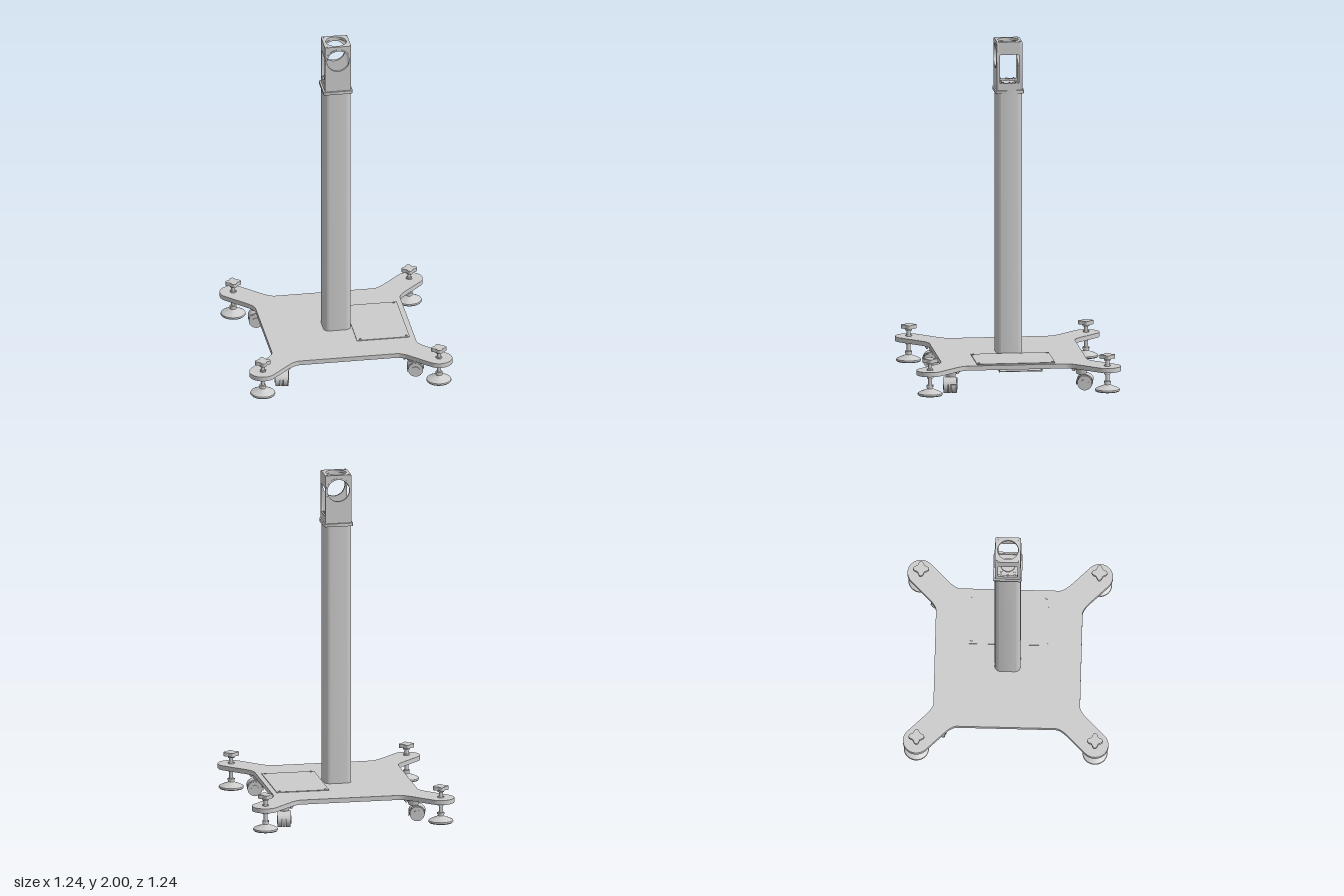
import * as THREE from 'three';
import { toCreasedNormals } from 'three/addons/utils/BufferGeometryUtils.js';

const grey = new THREE.MeshStandardMaterial({ color: 0xcccccc });

function add(parent, name, geometry, x = 0, y = 0, z = 0) {
  const mesh = new THREE.Mesh(geometry, grey);
  mesh.name = name;
  mesh.position.set(x, y, z);
  parent.add(mesh);
  return mesh;
}

const box = (w, h, d) => new THREE.BoxGeometry(w, h, d);
const cyl = (r, h, n = 24, r2 = r) => new THREE.CylinderGeometry(r2, r, h, n);
const extrude = (shape, depth, curveSegments = 12) =>
  toCreasedNormals(new THREE.ExtrudeGeometry(shape, { depth, bevelEnabled: false, curveSegments }), 0.6);
// Horizontal slab standing on its own y = 0
const slab = (shape, height, seg) => extrude(shape, height, seg).rotateX(-Math.PI / 2);

function roundedRect(w, h, r, Type = THREE.Shape, cx = 0, cy = 0) {
  const s = new Type(), a = w / 2 - r, b = h / 2 - r;
  s.absarc(cx + a, cy + b, r, 0, Math.PI / 2);
  s.absarc(cx - a, cy + b, r, Math.PI / 2, Math.PI);
  s.absarc(cx - a, cy - b, r, Math.PI, Math.PI * 1.5);
  s.absarc(cx + a, cy - b, r, Math.PI * 1.5, Math.PI * 2);
  s.closePath();
  return s;
}

function circleHole(r, x = 0, y = 0) {
  const p = new THREE.Path();
  p.absarc(x, y, r, 0, Math.PI * 2, true);
  return p;
}

// Square plate with four diagonal rounded arms and an access opening
function baseShape() {
  const s = new THREE.Shape(), half = 0.425, c = 0.518, r = 0.078;
  for (let i = 0; i < 4; i++) {
    const a = i * Math.PI / 2;
    const p = (x, y) => [x * Math.cos(a) - y * Math.sin(a), x * Math.sin(a) + y * Math.cos(a)];
    if (i) s.lineTo(...p(half, 0.285)); else s.moveTo(...p(half, 0.285));
    s.quadraticCurveTo(...p(half, 0.315), ...p(0.47, 0.36));
    s.absarc(...p(c, c), r, a - Math.PI / 4, a + Math.PI * 0.75, false);
    s.lineTo(...p(0.36, 0.47));
    s.quadraticCurveTo(...p(0.315, half), ...p(0.285, half));
  }
  s.closePath();
  s.holes.push(roundedRect(0.23, 0.39, 0.01, THREE.Path, 0.24, 0));
  return s;
}

function knobShape() {
  const pts = [];
  for (let i = 0; i < 48; i++) {
    const a = i / 48 * Math.PI * 2;
    const r = 0.037 - 0.0085 * Math.cos(4 * a);
    pts.push(new THREE.Vector2(r * Math.cos(a), r * Math.sin(a)));
  }
  return new THREE.Shape(pts);
}

// Screw-down foot with a lobed hand knob
function levellingFoot() {
  const g = new THREE.Group();
  g.name = 'levellingFoot';
  add(g, 'footKnob', slab(knobShape(), 0.022), 0, 0.206, 0);
  add(g, 'knobHub', cyl(0.02, 0.012), 0, 0.201, 0);
  add(g, 'footStem', cyl(0.0115, 0.16), 0, 0.125, 0);
  add(g, 'topCollar', cyl(0.019, 0.008, 6), 0, 0.164, 0);
  add(g, 'bottomBush', cyl(0.019, 0.02), 0, 0.123, 0);
  add(g, 'lockNut', cyl(0.021, 0.012, 6), 0, 0.066, 0);
  const profile = [[0, 0.012], [0.068, 0.012], [0.073, 0.018], [0.071, 0.026], [0.055, 0.035],
    [0.026, 0.046], [0.018, 0.052], [0.017, 0.062], [0, 0.062]].map(p => new THREE.Vector2(...p));
  add(g, 'footPad', toCreasedNormals(new THREE.LatheGeometry(profile, 40), 0.5));
  return g;
}

// Twin-wheel swivel caster
function caster() {
  const g = new THREE.Group(), R = 0.043, off = 0.022;
  g.name = 'caster';
  add(g, 'casterPlate', slab(roundedRect(0.11, 0.11, 0.015), 0.009), 0, 0.125, 0);
  for (const x of [-1, 1]) for (const z of [-1, 1])
    add(g, 'casterBolt', cyl(0.008, 0.01, 6), x * 0.042, 0.121, z * 0.042);
  add(g, 'casterSwivel', cyl(0.028, 0.035, 24, 0.036), 0, 0.109, 0);
  for (const s of [-1, 1]) {
    add(g, 'casterWheel', cyl(R, 0.026, 32).rotateX(Math.PI / 2), off, R, s * 0.024);
    add(g, 'wheelHub', cyl(0.022, 0.006).rotateX(Math.PI / 2), off, R, s * 0.039);
  }
  // Curved hood over the wheels
  const hood = new THREE.Shape();
  hood.absarc(0, 0, 0.051, 0.3, Math.PI + 0.2, false);
  hood.absarc(0, 0, 0.045, Math.PI + 0.2, 0.3, true);
  hood.closePath();
  add(g, 'casterHood', extrude(hood, 0.078), off, R, -0.039);
  add(g, 'casterWeb', cyl(0.046, 0.016).rotateX(Math.PI / 2), off, R + 0.004, 0);
  return g;
}

// Hollow camera-style head: round openings front and back, windows at the sides
function head() {
  const g = new THREE.Group();
  g.name = 'head';
  const w = 0.154, d = 0.148, y0 = 1.712, y1 = 2, t = 0.012, h = y1 - y0;
  const face = roundedRect(w, h, 0.006);
  face.holes.push(circleHole(0.065, 0, 1.908 - (y0 + y1) / 2));
  const side = roundedRect(d - 2 * t, h, 0.001);
  side.holes.push(roundedRect(0.112, 0.168, 0.005, THREE.Path, 0, 1.84 - (y0 + y1) / 2));
  const ring = new THREE.Shape();
  ring.absarc(0, 0, 0.074, 0, Math.PI * 2);
  ring.holes.push(circleHole(0.065));
  const mid = (y0 + y1) / 2;
  for (const s of [-1, 1]) {
    add(g, 'headFace', extrude(face, t, 32), 0, mid, s * (d - t) / 2 - t / 2);
    add(g, 'openingRing', extrude(ring, 0.004, 32), 0, 1.908, s * (d / 2 + 0.001) - 0.002);
    add(g, 'headSide', extrude(side, t).rotateY(Math.PI / 2), s * (w - t) / 2 - t / 2, mid, 0);
    for (const z of [-0.04, 0, 0.04])
      add(g, 'windowScrew', cyl(0.006, 0.008, 10), s * 0.066, 1.758, z);
    for (const z of [-1, 1]) add(g, 'topScrew', cyl(0.005, 0.004, 10), s * 0.064, 2, z * 0.062);
  }
  const top = roundedRect(w - 2 * t, d - 2 * t, 0.001);
  top.holes.push(circleHole(0.06));
  add(g, 'headTop', slab(top, 0.016, 32), 0, y1 - 0.016, 0);
  add(g, 'headFloor', box(w - 2 * t, 0.03, d - 2 * t), 0, 1.727, 0);
  add(g, 'floorHub', cyl(0.042, 0.01, 36), 0, 1.746, 0);
  for (let i = 0; i < 4; i++) {
    const a = Math.PI / 4 + i * Math.PI / 2;
    add(g, 'floorBolt', cyl(0.007, 0.008, 10), 0.055 * Math.cos(a), 1.745, 0.055 * Math.sin(a));
  }
  return g;
}

export function createModel() {
  const model = new THREE.Group();
  model.name = 'columnStand';
  const body = new THREE.Group();
  body.name = 'standBody';
  body.rotation.y = -0.0436;
  model.add(body);

  // Base, access cover and its screws
  add(body, 'basePlate', slab(baseShape(), 0.027, 20), 0, 0.133, 0);
  add(body, 'accessCover', box(0.31, 0.004, 0.456), 0.24, 0.162, 0);
  for (const x of [0.106, 0.376]) for (const z of [-0.216, 0.216])
    add(body, 'coverScrew', cyl(0.007, 0.005, 12), x, 0.1655, z);

  // Open-ended tray under the base
  const tray = new THREE.Group();
  tray.name = 'underTray';
  body.add(tray);
  add(tray, 'trayFloor', box(0.332, 0.005, 0.252), 0.098, 0.09, -0.043);
  for (const s of [-1, 1]) add(tray, 'trayWall', box(0.332, 0.046, 0.005), 0.098, 0.11, -0.043 + s * 0.1235);

  // Column with its mounting bolts and top flange
  add(body, 'column', slab(roundedRect(0.158, 0.15, 0.034), 1.54), -0.002, 0.16, -0.001);
  for (const x of [-0.045, 0.045]) for (const z of [-0.045, 0.045])
    add(body, 'columnBolt', cyl(0.017, 0.024, 16), x, 0.121, z);
  add(body, 'columnFlange', slab(roundedRect(0.172, 0.168, 0.014), 0.018), -0.001, 1.696, -0.001);
  body.add(head());

  // Feet and casters on the four arms
  for (let i = 0; i < 4; i++) {
    const arm = new THREE.Group();
    arm.name = 'arm';
    arm.rotation.y = Math.PI / 4 + i * Math.PI / 2;
    body.add(arm);
    const foot = levellingFoot(), wheel = caster();
    foot.position.x = 0.732;
    wheel.position.x = 0.54;
    wheel.rotation.y = 0.6;
    arm.add(foot, wheel);
  }
  return model;
}
